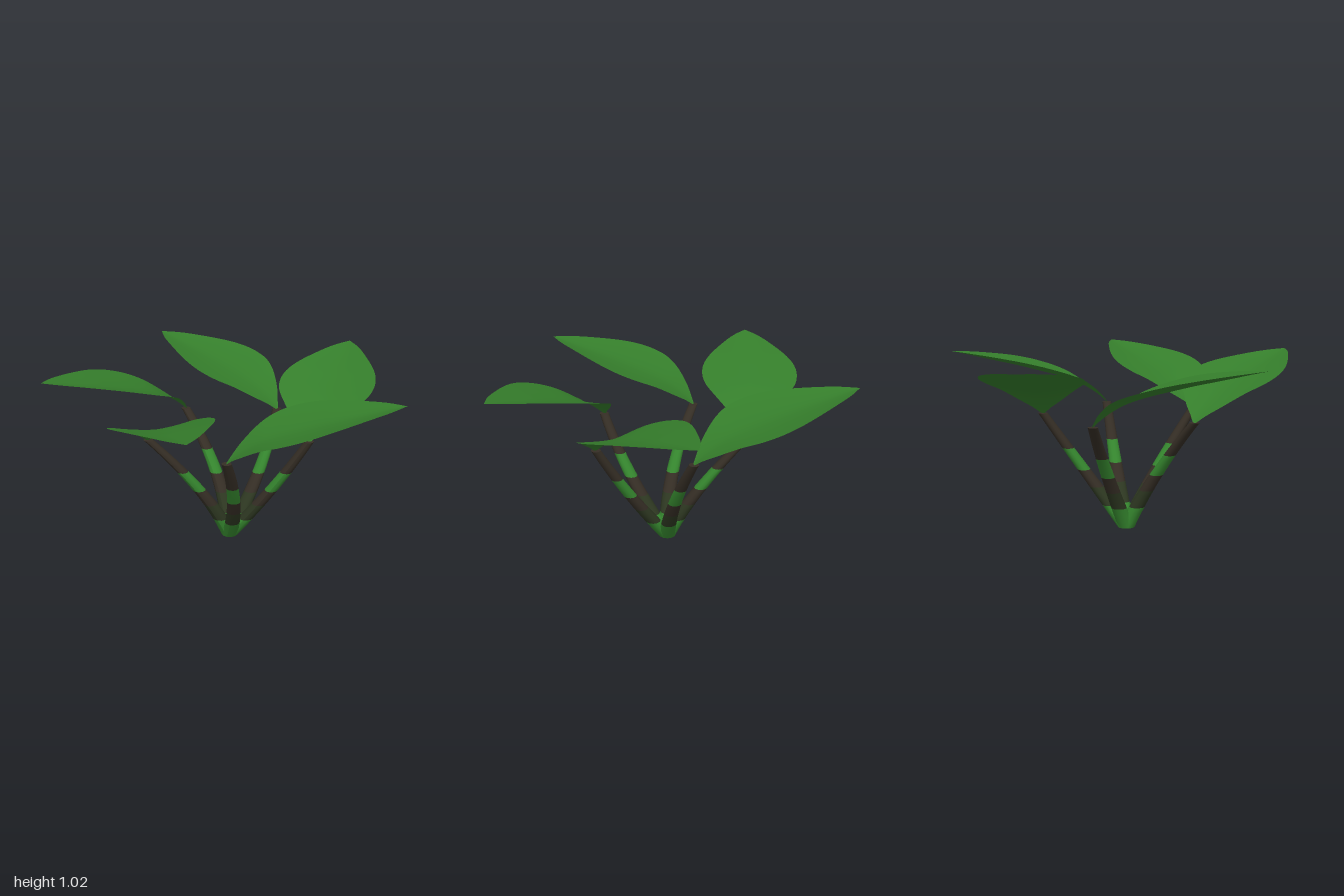
import * as THREE from 'three';

const STEM_H = 0.677, REACH = 0.485, BASE_R = 0.05, TOP_R = 0.028;
const CENTRE_X = -0.052, CENTRE_Z = -0.053;

function makeMaterial(name, color, side = THREE.FrontSide) {
  const material = new THREE.MeshStandardMaterial({ color, side });
  material.name = name;
  return material;
}
const leafGreen = makeMaterial('leaf green', 0x357e2b, THREE.DoubleSide);
const stemGreen = makeMaterial('stem green', 0x35862e);
const brown = makeMaterial('olive brown', 0x352e25);
const olive = makeMaterial('dark olive', 0x2d3721);

// Stem bands from the ground up, as fractions of the height
const BANDS = [
  [0, 0.19, stemGreen],
  [0.19, 0.35, olive],
  [0.35, 0.5, brown],
  [0.5, 0.69, stemGreen],
  [0.69, 1, brown],
];

// Leaf stations: distance from the stalk, half width, midrib height, edge height
const STATIONS = [
  [0, 0.012, 0.677, 0.679], [0.03, 0.05, 0.706, 0.714], [0.08, 0.115, 0.746, 0.762],
  [0.18, 0.21, 0.806, 0.838], [0.27, 0.267, 0.842, 0.881], [0.36, 0.285, 0.87, 0.912],
  [0.45, 0.277, 0.895, 0.938], [0.56, 0.24, 0.925, 0.963], [0.74, 0.147, 0.968, 0.993],
  [0.86, 0.074, 0.998, 1.009], [0.948, 0.0005, 1.018, 1.018],
];

const stemRadius = (t) => BASE_R + (TOP_R - BASE_R) * t;

// Slide each level of an upright stem piece sideways along the stem's curve
function bend(geometry, angle) {
  const p = geometry.attributes.position;
  const topX = REACH * Math.cos(angle), topZ = -REACH * Math.sin(angle);
  const bulge = 0.04 - 0.02 * Math.cos(angle);
  for (let i = 0; i < p.count; i++) {
    const t = p.getY(i) / STEM_H;
    p.setX(i, p.getX(i) + topX * t + bulge * 4 * t * (1 - t));
    p.setZ(i, p.getZ(i) + topZ * t);
  }
  geometry.computeVertexNormals();
  return geometry;
}

function addMesh(group, name, geometry, material) {
  const mesh = new THREE.Mesh(geometry, material);
  mesh.name = name;
  group.add(mesh);
}

function makeStem(angle) {
  const stem = new THREE.Group();
  stem.name = 'stem';
  for (const [t0, t1, material] of BANDS) {
    const band = new THREE.CylinderGeometry(
      stemRadius(t1), stemRadius(t0), (t1 - t0) * STEM_H, 12, 4, true);
    band.translate(0, (t0 + t1) / 2 * STEM_H, 0);
    addMesh(stem, 'stemBand', bend(band, angle), material);
  }
  const top = new THREE.CircleGeometry(TOP_R, 12).rotateX(-Math.PI / 2).translate(0, STEM_H, 0);
  addMesh(stem, 'stemTop', bend(top, angle), brown);
  const foot = new THREE.CircleGeometry(BASE_R, 12).rotateX(Math.PI / 2);
  addMesh(stem, 'stemFoot', bend(foot, angle), stemGreen);
  return stem;
}

// Leaf blade: a smooth loft through the stations, dipped along the midrib
function makeLeafGeometry() {
  const plan = new THREE.CatmullRomCurve3(STATIONS.map(([d, w]) => new THREE.Vector3(w, 0, -d)));
  const rise = new THREE.CatmullRomCurve3(STATIONS.map(([d, , m, e]) => new THREE.Vector3(m, e, -d)));
  const rows = 40, cols = 12, positions = [], index = [];
  for (let r = 0; r <= rows; r++) {
    const a = plan.getPoint(r / rows), b = rise.getPoint(r / rows);
    for (let c = 0; c <= cols; c++) {
      const u = (c / cols) * 2 - 1;
      positions.push(u * a.x, b.x + (b.y - b.x) * Math.abs(u) ** 1.5, a.z);
      if (r < rows && c < cols) {
        const i = r * (cols + 1) + c, j = i + cols + 1;
        index.push(i, i + 1, j, i + 1, j + 1, j);
      }
    }
  }
  const geometry = new THREE.BufferGeometry();
  geometry.setAttribute('position', new THREE.Float32BufferAttribute(positions, 3));
  geometry.setIndex(index);
  geometry.computeVertexNormals();
  return geometry;
}

export function createModel() {
  const plant = new THREE.Group();
  plant.name = 'plant';
  const leafGeometry = makeLeafGeometry();

  // Five stems fan out, each with a leaf sweeping off sideways
  for (let k = 0; k < 5; k++) {
    const angle = (k * Math.PI * 2) / 5;
    plant.add(makeStem(angle));
    const leaf = new THREE.Mesh(leafGeometry, leafGreen);
    leaf.name = 'leaf';
    leaf.position.set(REACH * Math.cos(angle), 0, -REACH * Math.sin(angle));
    leaf.rotation.y = angle;
    plant.add(leaf);
  }
  plant.position.set(CENTRE_X, 0, CENTRE_Z);

  const model = new THREE.Group();
  model.name = 'leafyPlant';
  model.add(plant);
  return model;
}
